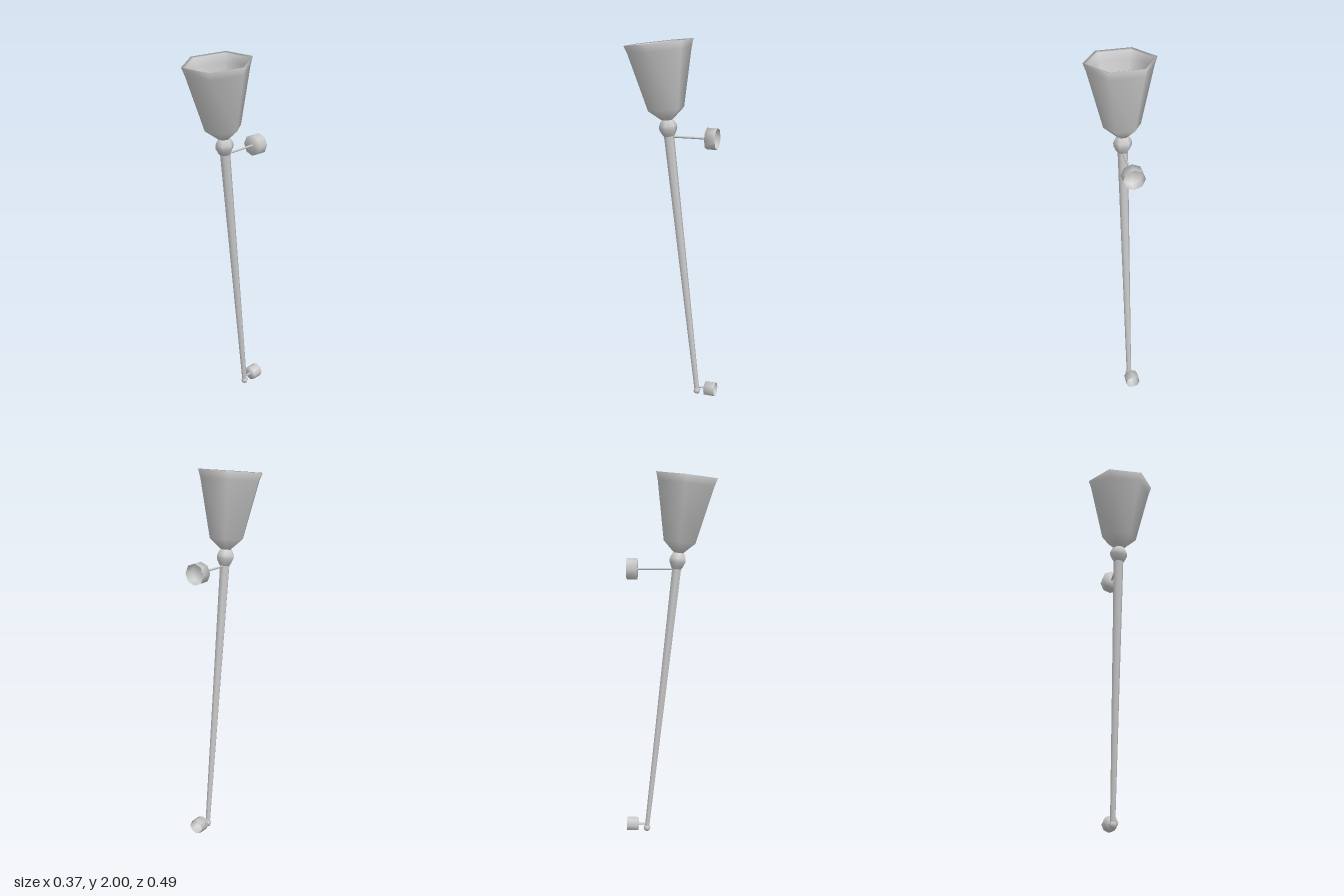
import * as THREE from 'three';

const material = new THREE.MeshStandardMaterial({ color: 0xcccccc, side: THREE.DoubleSide });

// Smooth-shaded turned part; corners of a six-sided part point along x
function turned(name, profile, sides = 6) {
  const points = profile.map(([r, y]) => new THREE.Vector2(r, y));
  const geometry = new THREE.LatheGeometry(points, sides, sides === 6 ? Math.PI / 6 : 0);
  const mesh = new THREE.Mesh(geometry, material);
  mesh.name = name;
  return mesh;
}

// Horizontal rod from the pole to a hollow cup that is open towards the wall
function wallMount(name, y, rodStart, cupFront, cupBack, radius) {
  const mount = new THREE.Group();
  mount.name = name;
  mount.position.y = y;
  mount.rotation.x = Math.PI / 2; // local y becomes z

  const cup = turned('wallCup', [[radius, cupBack], [radius, cupFront], [0, cupFront]], 8);
  const rodEnd = cupFront - 0.005;
  const rod = new THREE.Mesh(
    new THREE.CylinderGeometry(0.006, 0.006, rodStart - rodEnd, 6), material);
  rod.name = 'rod';
  rod.position.y = (rodStart + rodEnd) / 2;
  mount.add(cup, rod);
  return mount;
}

export function createModel() {
  const model = new THREE.Group();
  model.name = 'wallTorch';

  // Everything on the leaning axis
  const torch = new THREE.Group();
  torch.name = 'torch';
  torch.position.set(0, 0, -0.14);
  torch.rotation.x = THREE.MathUtils.degToRad(6.5);
  model.add(torch);

  torch.add(
    turned('endKnob', [[0, 0.002], [0.014, 0.007], [0.021, 0.022], [0.014, 0.037], [0, 0.043]]),
    turned('pole', [[0.014, 0.03], [0.028, 1.52]]),
    turned('neckKnob', [
      [0.026, 1.495], [0.036, 1.508], [0.049, 1.535], [0.049, 1.555], [0.036, 1.58], [0.024, 1.588],
    ]),
    // Cup with outer wall, rim and inner wall
    turned('torchCup', [
      [0.026, 1.582], [0.098, 1.643], [0.172, 1.95], [0.187, 1.993],
      [0.168, 1.988], [0.156, 1.945], [0.086, 1.652], [0, 1.6],
    ]),
  );

  model.add(
    wallMount('upperMount', 1.487, 0.025, -0.183, -0.24, 0.058),
    wallMount('lowerMount', 0.045, -0.135, -0.187, -0.248, 0.04),
  );
  return model;
}
